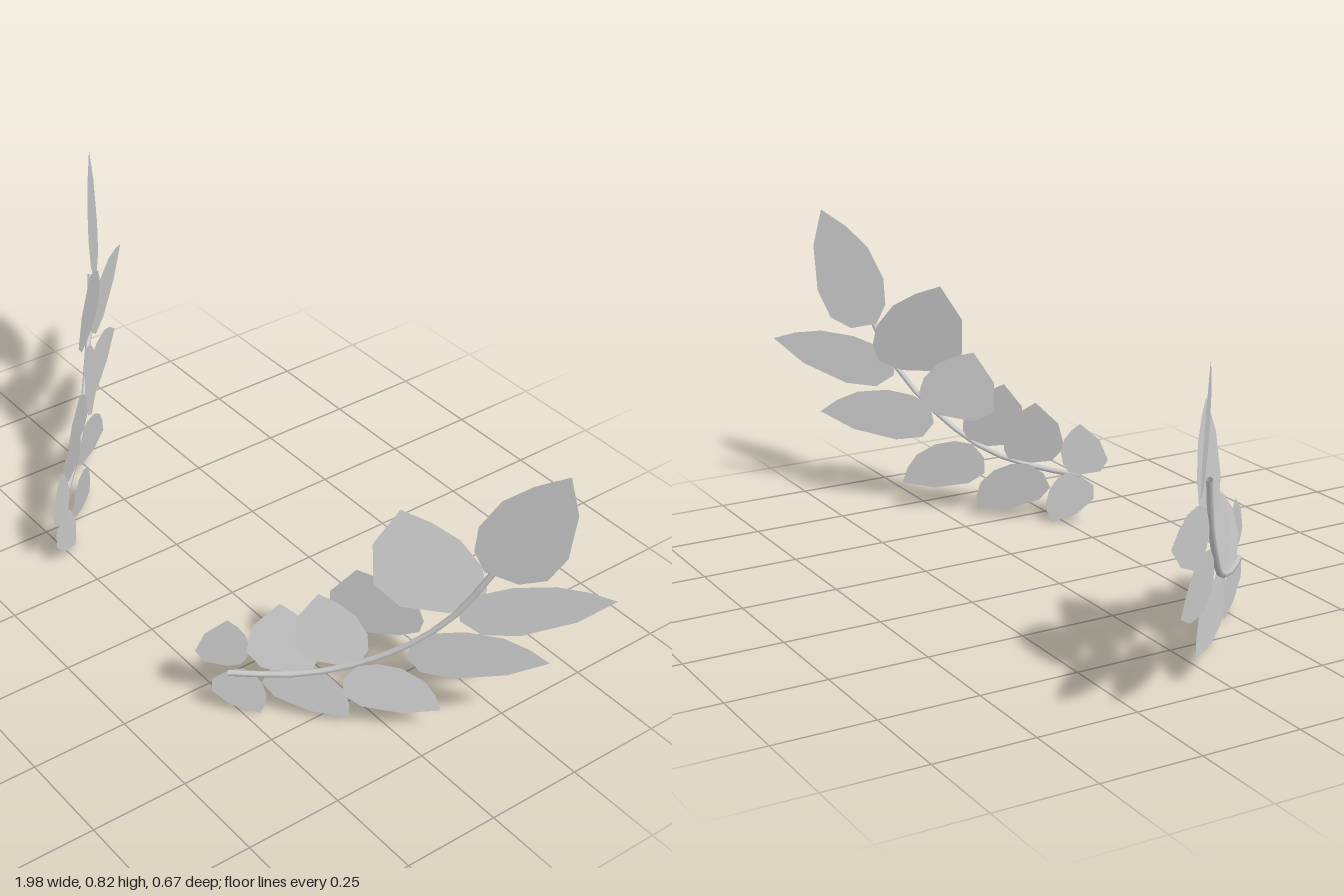
import * as THREE from 'three';

// Leaf half-outlines: [distance from base to tip, share of the half width]
const FULL_EDGE = [[0.04, 0.6], [0.2, 0.9], [0.42, 1], [0.68, 0.83], [0.86, 0.46]];
const PLAIN_EDGE = [[0.09, 0.74], [0.32, 1], [0.7, 0.7]];

// base z, y | tip z, y | half width of full edge, plain edge | plane x = a*z + b*y + c
const UPPER_LEAVES = [
  [-0.063, 0.395, 0, 0.644, 0.087, 0.1, -1, -0.2, 0.755],
  [-0.009, 0.286, 0.065, 0.467, 0.058, 0.088, -1.2, 0.1, 0.595],
  [0.1, 0.199, 0.124, 0.385, 0.065, 0.07, -0.85, -0.2, 0.685],
  [0.172, 0.158, 0.183, 0.341, 0.052, 0.08, -0.82, -0.22, 0.661],
  [0.275, 0.145, 0.277, 0.287, 0.04, 0.059, -0.81, 0.03, 0.576],
];
const LOWER_LEAVES = [
  [-0.078, 0.378, -0.331, 0.465, 0.072, 0.061, -0.92, -0.02, 0.696],
  [-0.002, 0.252, -0.24, 0.265, 0.081, 0.059, -0.93, 0, 0.672],
  [0.098, 0.164, -0.079, 0.08, 0.076, 0.057, -0.79, -0.1, 0.665],
  [0.2, 0.143, 0.07, 0.023, 0.065, 0.054, -0.98, -0.1, 0.635],
  [0.275, 0.143, 0.216, 0.003, 0.039, 0.059, -0.73, 0.03, 0.567],
];
const END_LEAF = [-0.161, 0.502, -0.203, 0.822, 0.085, 0.046, -1.264, 0.0875, 0.602];

const STEM_POINTS = [
  [0.372, 0.138, 0.283], [0.479, 0.156, 0.181], [0.57, 0.197, 0.089],
  [0.68, 0.293, -0.004], [0.755, 0.4, -0.07], [0.81, 0.526, -0.115],
];

// Flat leaf drawn around its midrib, then laid on its slanted plane
function leafGeometry([bz, by, tz, ty, full, plain, a, b, c], turn, side) {
  const base = new THREE.Vector2(-bz, by);
  const axis = new THREE.Vector2(-tz, ty).sub(base);
  const across = new THREE.Vector2(-axis.y, axis.x).normalize().multiplyScalar(turn);
  const point = (t, w) => base.clone().addScaledVector(axis, t).addScaledVector(across, w);

  const shape = new THREE.Shape([
    point(0, 0),
    ...FULL_EDGE.map(([t, w]) => point(t, w * full)),
    point(1, 0),
    ...[...PLAIN_EDGE].reverse().map(([t, w]) => point(t, -w * plain)),
  ]);
  const geometry = new THREE.ShapeGeometry(shape);
  const position = geometry.attributes.position;
  for (let i = 0; i < position.count; i++) {
    const z = -position.getX(i);
    const y = position.getY(i);
    position.setXYZ(i, side * (a * z + b * y + c), y, z);
  }
  geometry.computeVertexNormals();
  return geometry;
}

// One branch: stem, leaves along both edges and a large leaf at the end
function createBranch(side, material) {
  const branch = new THREE.Group();
  const add = (name, geometry) => {
    const mesh = new THREE.Mesh(geometry, material);
    mesh.name = name;
    branch.add(mesh);
  };

  const curve = new THREE.CatmullRomCurve3(
    STEM_POINTS.map(([x, y, z]) => new THREE.Vector3(side * x, y, z)));
  add('stem', new THREE.TubeGeometry(curve, 10, 0.008, 6));

  UPPER_LEAVES.forEach((leaf, i) => add(`upperLeaf${i + 1}`, leafGeometry(leaf, -1, side)));
  LOWER_LEAVES.forEach((leaf, i) => add(`lowerLeaf${i + 1}`, leafGeometry(leaf, 1, side)));
  add('endLeaf', leafGeometry(END_LEAF, 1, side));
  return branch;
}

export function createModel() {
  const material = new THREE.MeshStandardMaterial({
    name: 'pale grey', color: 0xcccccc, side: THREE.DoubleSide,
  });
  const model = new THREE.Group();
  model.name = 'leafBranches';
  for (const [name, side] of [['leftBranch', 1], ['rightBranch', -1]]) {
    const branch = createBranch(side, material);
    branch.name = name;
    model.add(branch);
  }
  return model;
}
